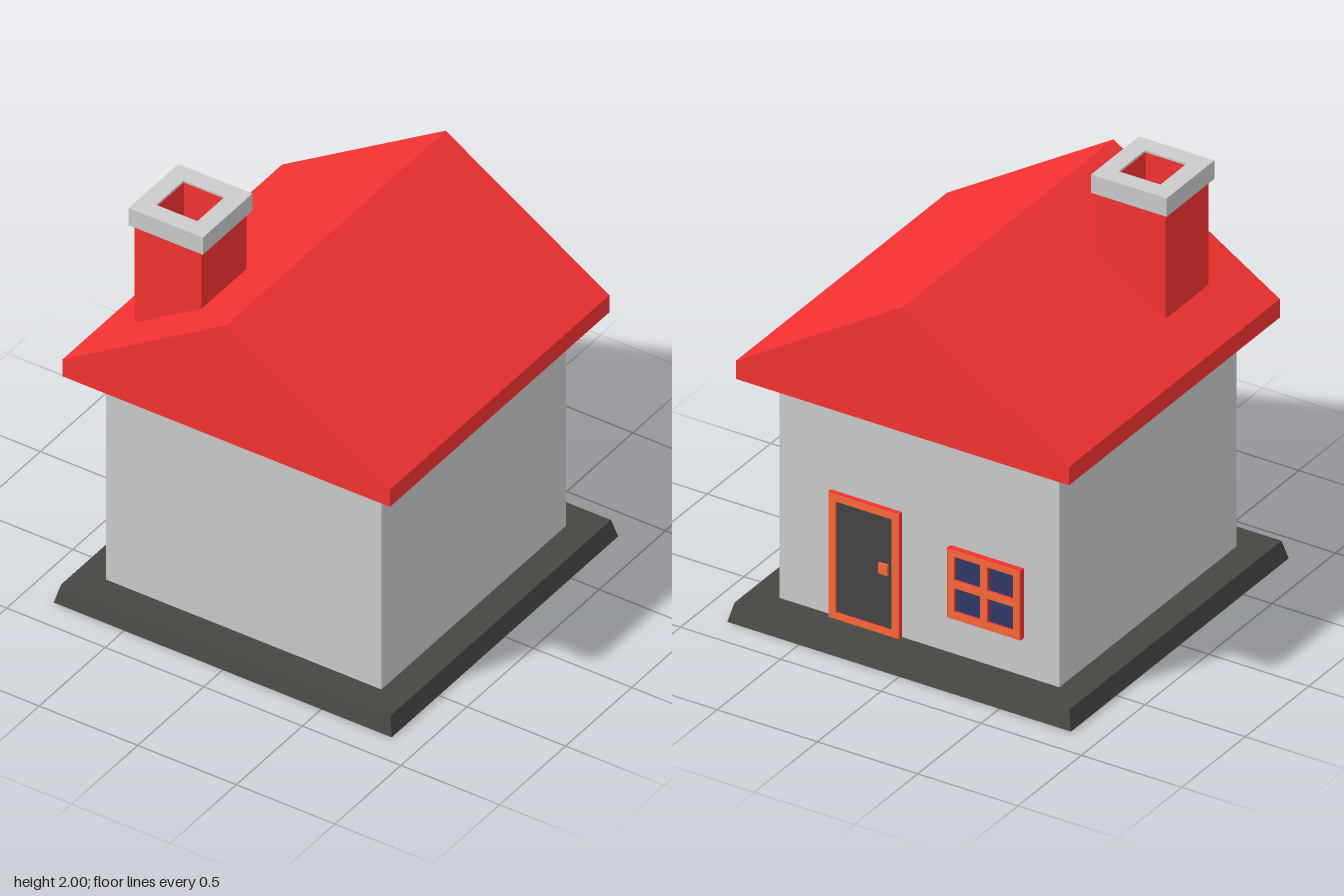
import * as THREE from 'three';

const mat = (color, side = THREE.FrontSide) =>
  new THREE.MeshStandardMaterial({ color, side, flatShading: true });
const GREY = mat(0xcccccc), WALL = mat(0xcccccc, THREE.DoubleSide);
const RED = mat(0xf53232), DARK = mat(0x464643), BLACK = mat(0x101010);
const TRIM = mat(0xfa6937), PANEL = mat(0x444444), GLASS = mat(0x303a6a);

function add(parent, name, geometry, material, x = 0, y = 0, z = 0) {
  const mesh = new THREE.Mesh(geometry, material);
  mesh.name = name;
  mesh.position.set(x, y, z);
  parent.add(mesh);
  return mesh;
}

// Four-sided turned solid: profile is [half width, y], wound out and up
function square(profile) {
  const pts = profile.map(([h, y]) => new THREE.Vector2(h * Math.SQRT2, y));
  return new THREE.LatheGeometry(pts, 4).rotateY(Math.PI / 4);
}

// Square tube with a square hole
const tube = (inner, outer, y0, y1, outerTop = outer) =>
  square([[inner, y0], [outer, y0], [outerTop, y1], [inner, y1], [inner, y0]]);

// Rectangular frame standing on y = 0, centred on x, with rectangular openings
function frame(w, h, openings, depth) {
  const rect = (s, x0, y0, x1, y1) =>
    s.moveTo(x0, y0).lineTo(x1, y0).lineTo(x1, y1).lineTo(x0, y1).closePath();
  const shape = rect(new THREE.Shape(), -w / 2, 0, w / 2, h);
  for (const o of openings) shape.holes.push(rect(new THREE.Path(), ...o));
  return new THREE.ExtrudeGeometry(shape, { depth, bevelEnabled: false });
}

export function createModel() {
  const house = new THREE.Group();
  house.name = 'house';

  add(house, 'foundation', tube(0.7, 0.857, 0, 0.09, 0.835), DARK);
  add(house, 'walls', square([[0.698, 0], [0.698, 1.17]]), WALL);

  // Gable roof with a slightly sloped soffit
  const gable = new THREE.Shape([[-0.83, 1.18], [0.83, 1.18], [0.83, 1.27], [0, 1.79], [-0.83, 1.27]]
    .map(([x, y]) => new THREE.Vector2(x, y)));
  add(house, 'roof', new THREE.ExtrudeGeometry(gable, { depth: 1.66, bevelEnabled: false }), RED, 0, 0, -0.83);
  add(house, 'soffit', square([[0.698, 1.16], [0.83, 1.18]]), RED);

  // Chimney
  const chimney = new THREE.Group();
  chimney.name = 'chimney';
  chimney.position.set(-0.458, 0, 0.417);
  house.add(chimney);
  add(chimney, 'chimneyShaft', tube(0.102, 0.17, 1.25, 1.99), RED);
  add(chimney, 'chimneyCap', tube(0.104, 0.188, 1.91, 2), GREY);
  add(chimney, 'flueFloor', new THREE.BoxGeometry(0.21, 0.02, 0.21), BLACK, 0, 1.64);

  // Back door: red surround with a lighter face
  const door = new THREE.Group();
  door.name = 'door';
  door.position.set(0.262, 0, -0.7);
  house.add(door);
  const doorway = [[-0.14, 0.12, 0.14, 0.663]];
  add(door, 'doorSurround', frame(0.356, 0.7, doorway, 0.02), RED, 0, 0, -0.02);
  add(door, 'doorTrim', frame(0.35, 0.697, doorway, 0.003), TRIM, 0, 0, -0.023);
  add(door, 'doorPanel', new THREE.BoxGeometry(0.29, 0.58, 0.012), PANEL, 0, 0.378, -0.006);
  add(door, 'doorHandle', new THREE.BoxGeometry(0.045, 0.05, 0.016), TRIM, -0.095, 0.405, -0.016);

  // Back window with four panes
  const win = new THREE.Group();
  win.name = 'window';
  win.position.set(-0.34, 0.275, -0.7);
  house.add(win);
  const panes = [];
  for (const x of [-0.148, 0.018])
    for (const y of [0.035, 0.188]) panes.push([x, y, x + 0.13, y + 0.117]);
  add(win, 'windowFrame', frame(0.366, 0.34, panes, 0.026), RED, 0, 0, -0.026);
  add(win, 'windowTrim', frame(0.36, 0.335, panes, 0.003), TRIM, 0, 0.0025, -0.029);
  add(win, 'windowGlass', new THREE.BoxGeometry(0.31, 0.29, 0.012), GLASS, 0, 0.17, -0.006);

  return house;
}
